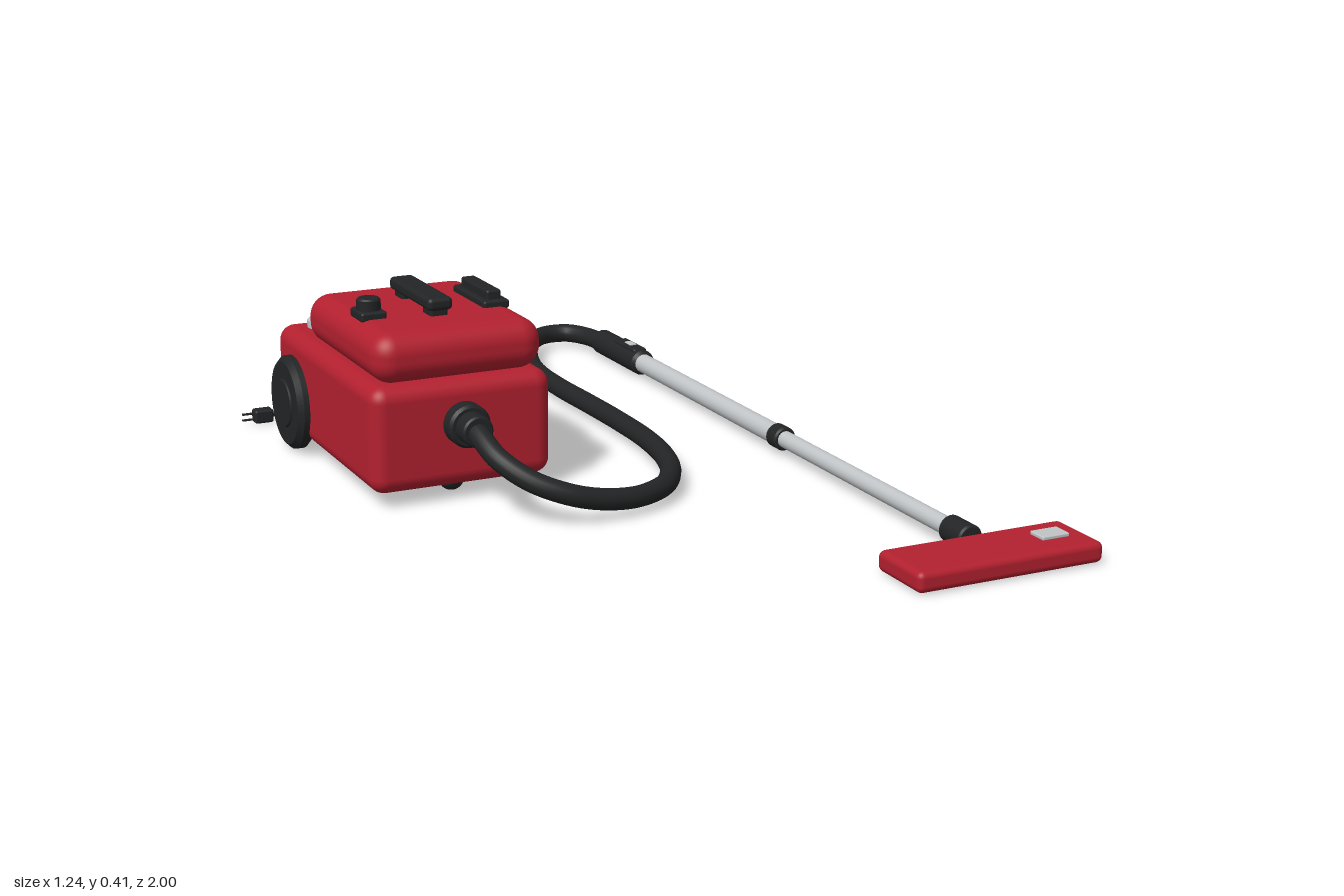
import * as THREE from 'three';
import { RoundedBoxGeometry } from 'three/addons/geometries/RoundedBoxGeometry.js';

export function createModel() {
  const root = new THREE.Group();
  root.name = 'vacuumCleaner';
  const mat = (name, color) => {
    const m = new THREE.MeshStandardMaterial({ color });
    m.name = name;
    return m;
  };
  const red = mat('red', 0xb3202f);
  const black = mat('black', 0x232425);
  const dark = mat('darkBlack', 0x161617);
  const silver = mat('silver', 0xc0c4c6);

  const add = (name, geo, m, x, y, z) => {
    const mesh = new THREE.Mesh(geo, m);
    mesh.name = name;
    mesh.position.set(x, y, z);
    root.add(mesh);
    return mesh;
  };
  // Rounded box given by its extents
  const box = (name, m, x0, x1, y0, y1, z0, z1, r = 0.006, seg = 3) =>
    add(name, new RoundedBoxGeometry(x1 - x0, y1 - y0, z1 - z0, seg, r), m,
      (x0 + x1) / 2, (y0 + y1) / 2, (z0 + z1) / 2);
  // Cylinder along an axis with slightly bevelled rims, from a to b
  const rod = (name, m, axis, r, a, b, u, v, bevel = 0.004) => {
    const h = (b - a) / 2;
    const pts = [[0, -h], [r - bevel, -h], [r - bevel, -h], [r, -h + bevel], [r, -h + bevel],
      [r, h - bevel], [r, h - bevel], [r - bevel, h], [r - bevel, h], [0, h]];
    const geo = new THREE.LatheGeometry(pts.map(p => new THREE.Vector2(...p)), 36);
    if (axis === 'x') geo.rotateZ(-Math.PI / 2);
    if (axis === 'z') geo.rotateX(Math.PI / 2);
    const c = (a + b) / 2;
    const p = { x: [c, u, v], y: [u, c, v], z: [u, v, c] }[axis];
    return add(name, geo, m, ...p);
  };
  const tube = (name, m, pts, r, n, sides) => {
    const curve = new THREE.CatmullRomCurve3(pts.map(p => new THREE.Vector3(...p)), false, 'centripetal');
    return add(name, new THREE.TubeGeometry(curve, n, r, sides), m, 0, 0, 0);
  };

  const cx = -0.36;

  // Main body and lid
  box('body', red, -0.563, -0.156, 0.03, 0.262, -0.533, 0.1, 0.035, 6);
  box('lid', red, -0.55, -0.17, 0.262, 0.371, -0.36, 0.096, 0.048, 8);
  box('lidHinge', red, -0.52, -0.2, 0.255, 0.278, -0.385, -0.34, 0.01);

  // Rear wheels with stepped hubs
  for (const s of [-1, 1]) {
    const [a, b] = s < 0 ? [-0.588, -0.545] : [-0.175, -0.132];
    rod('wheel', black, 'x', 0.106, a, b, 0.108, -0.41, 0.012);
    const face = s < 0 ? a : b;
    rod('wheelHub', black, 'x', 0.055, face - 0.004, face + 0.004, 0.108, -0.41, 0.003);
  }
  // Front caster
  add('caster', new THREE.SphereGeometry(0.028, 24, 16), black, cx, 0.028, 0.02);

  // Carry handle
  for (const z of [-0.225, -0.055]) box('handlePost', black, cx - 0.02, cx + 0.02, 0.36, 0.392, z - 0.025, z + 0.025);
  box('handleGrip', black, cx - 0.028, cx + 0.028, 0.383, 0.411, -0.26, -0.02, 0.01);
  // Slide latch
  box('latchBase', black, -0.25, -0.19, 0.365, 0.385, -0.23, -0.05);
  box('latchSlider', black, -0.237, -0.203, 0.38, 0.405, -0.215, -0.065);
  // Lid knob
  box('knobBase', black, -0.525, -0.467, 0.365, 0.386, -0.13, -0.057);
  rod('knob', black, 'y', 0.026, 0.38, 0.411, -0.496, -0.093);

  // Rear controls
  for (const x of [-0.475, -0.245]) {
    rod('dial', silver, 'y', 0.037, 0.258, 0.284, x, -0.455, 0.005);
  }
  box('dialPointer', black, -0.478, -0.472, 0.28, 0.287, -0.477, -0.435, 0.002);
  box('powerButton', black, -0.396, -0.324, 0.255, 0.276, -0.512, -0.458);

  // Rear vent with slats
  box('ventPanel', dark, -0.49, -0.23, 0.085, 0.225, -0.54, -0.525, 0.005);
  for (let i = 0; i < 8; i++) {
    const y = 0.1 + i * 0.0157;
    box('ventSlat', black, -0.482, -0.238, y - 0.004, y + 0.004, -0.547, -0.53, 0.002, 1);
  }

  // Power cord and plug
  tube('powerCord', black, [[cx, 0.06, -0.52], [cx, 0.05, -0.55], [-0.366, 0.022, -0.59], [-0.39, 0.01, -0.622],
    [-0.44, 0.008, -0.64], [-0.5, 0.009, -0.642], [-0.555, 0.017, -0.63]], 0.005, 48, 10);
  box('plug', black, -0.595, -0.55, 0.002, 0.034, -0.645, -0.614);
  for (const y of [0.011, 0.025]) box('plugProng', black, -0.622, -0.59, y - 0.002, y + 0.002, -0.633, -0.626, 0.001, 1);

  // Hose outlet
  rod('outletFlange', black, 'z', 0.047, 0.09, 0.137, cx, 0.17, 0.006);
  rod('outletSleeve', black, 'z', 0.034, 0.13, 0.18, cx, 0.17);

  // Flexible hose
  tube('hose', black, [[-0.362, 0.17, 0.14], [-0.36, 0.165, 0.18], [-0.347, 0.132, 0.25], [-0.3, 0.095, 0.307],
    [-0.235, 0.068, 0.34], [-0.167, 0.049, 0.346], [-0.077, 0.036, 0.333], [0.013, 0.034, 0.286],
    [0.071, 0.034, 0.206], [0.108, 0.034, 0.106], [0.13, 0.034, -0.026], [0.136, 0.034, -0.185],
    [0.134, 0.034, -0.344], [0.13, 0.034, -0.5], [0.14, 0.034, -0.66], [0.177, 0.034, -0.79],
    [0.24, 0.034, -0.92], [0.304, 0.034, -0.974], [0.362, 0.034, -0.968], [0.394, 0.034, -0.915],
    [0.405, 0.035, -0.83]], 0.023, 200, 18);

  // Wand: grip, two tube sections and collars
  const wx = 0.405, wy = 0.037;
  rod('grip', black, 'z', 0.031, -0.845, -0.6, wx, wy, 0.008);
  box('gripSwitchBase', black, wx - 0.018, wx + 0.018, 0.05, 0.07, -0.735, -0.62);
  box('gripSwitch', silver, wx - 0.009, wx + 0.009, 0.064, 0.073, -0.692, -0.658, 0.002);
  rod('upperTube', silver, 'z', 0.023, -0.61, 0.09, wx, wy);
  rod('tubeCollar', black, 'z', 0.027, 0.07, 0.113, wx, wy);
  rod('lowerTube', silver, 'z', 0.019, 0.09, 0.79, wx, wy);
  rod('neck', black, 'z', 0.028, 0.775, 0.85, wx, wy);

  // Floor head
  box('floorHead', red, 0.193, 0.618, 0.002, 0.046, 0.843, 0.997, 0.014, 4);
  box('headPedal', silver, 0.512, 0.575, 0.044, 0.053, 0.895, 0.94, 0.003);

  return root;
}
